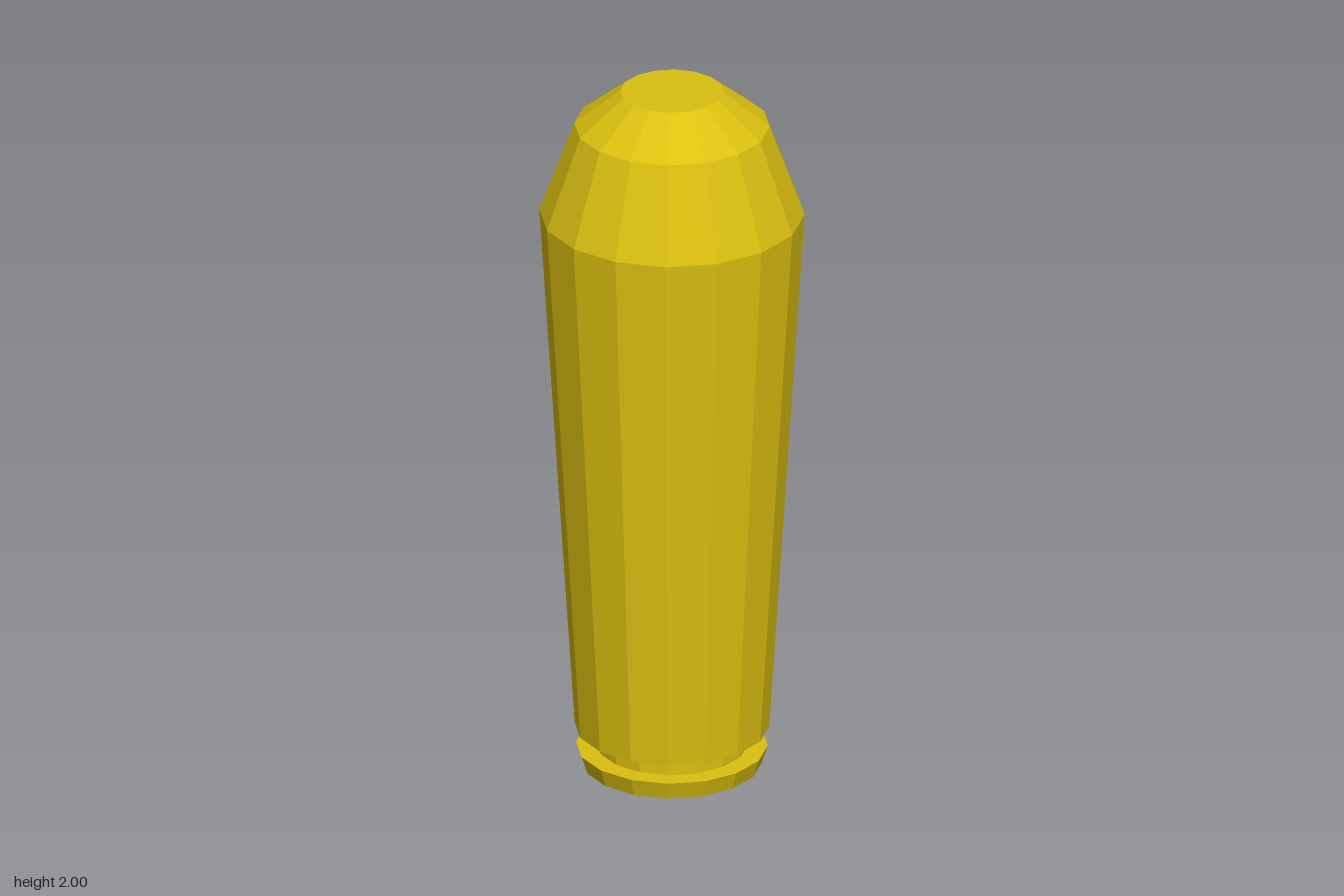
import * as THREE from 'three';

const SIDES = 16;

// Faceted ring of surfaces turned around the y axis from [radius, height] points, bottom to top
function turned(name, profile, material) {
  const points = profile.map(([r, y]) => new THREE.Vector2(r, y));
  const geometry = new THREE.LatheGeometry(points, SIDES).toNonIndexed();
  geometry.computeVertexNormals(); // one normal per facet
  const mesh = new THREE.Mesh(geometry, material);
  mesh.name = name;
  return mesh;
}

// Flat end disc facing up or down
function disc(name, radius, y, up, material) {
  const geometry = new THREE.CircleGeometry(radius, SIDES);
  geometry.rotateX(up ? -Math.PI / 2 : Math.PI / 2);
  const mesh = new THREE.Mesh(geometry, material);
  mesh.position.y = y;
  mesh.name = name;
  return mesh;
}

export function createModel() {
  const model = new THREE.Group();
  model.name = 'cartridge';

  const brass = new THREE.MeshStandardMaterial({ color: 0xdcc010 });
  brass.name = 'brass yellow';

  model.add(
    // base: flared rim with a flat underside
    disc('baseCap', 0.243, 0, false, brass),
    turned('rim', [[0.243, 0], [0.26, 0.052], [0.205, 0.052]], brass),
    // narrow extractor groove
    turned('groove', [[0.205, 0.052], [0.205, 0.11]], brass),
    // long body widening upwards, with its lower ledge
    turned('body', [[0.205, 0.11], [0.264, 0.11], [0.36, 1.64]], brass),
    // two-step rounded nose with a flat tip
    turned('nose', [[0.36, 1.64], [0.265, 1.9], [0.14, 2]], brass),
    disc('tip', 0.14, 2, true, brass)
  );

  return model;
}
